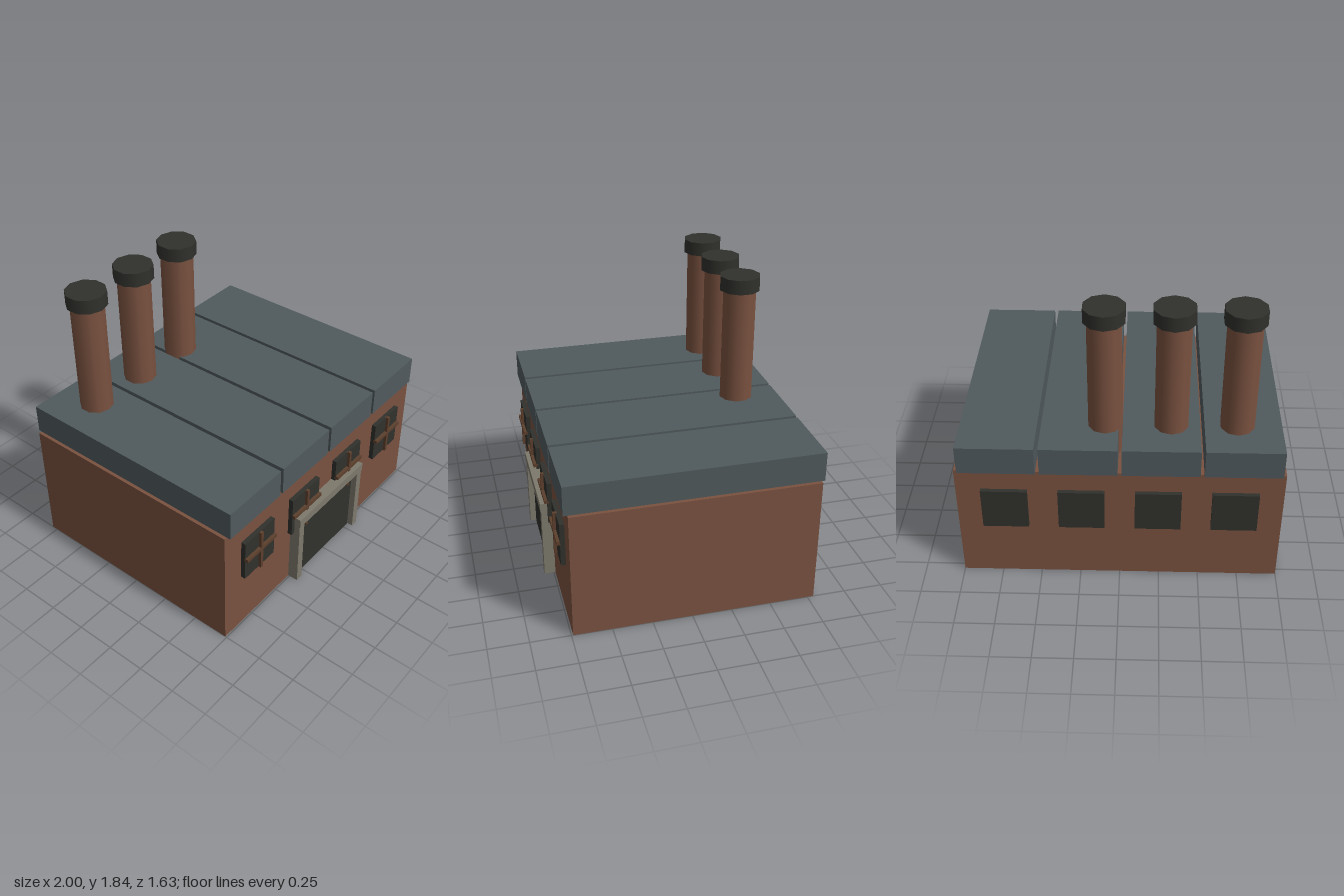
import * as THREE from 'three';

const material = (color) => new THREE.MeshStandardMaterial({ color });

export function createModel() {
  const model = new THREE.Group();
  const brick = material(0x7a5240);
  const slate = material(0x505a5d);
  const dark = material(0x30312c);
  const stone = material(0x7d796c);
  const wood = material(0x5c3f2c);

  // Box given by its minimum and maximum corners
  function box(name, mat, [x0, y0, z0], [x1, y1, z1], parent = model) {
    const mesh = new THREE.Mesh(new THREE.BoxGeometry(x1 - x0, y1 - y0, z1 - z0), mat);
    mesh.position.set((x0 + x1) / 2, (y0 + y1) / 2, (z0 + z1) / 2);
    mesh.name = name;
    parent.add(mesh);
  }

  // Ten-sided upright cylinder with smooth sides
  function column(name, mat, radius, y0, y1, parent) {
    const mesh = new THREE.Mesh(new THREE.CylinderGeometry(radius, radius, y1 - y0, 10), mat);
    mesh.position.y = (y0 + y1) / 2;
    mesh.name = name;
    parent.add(mesh);
  }

  // Main hall
  box('walls', brick, [-1, 0, -0.79], [1, 0.825, 0.74]);

  // Four roof slabs with narrow gaps, overhanging front and back
  for (let i = 0; i < 4; i++) {
    const x = -0.744 + i * 0.495;
    box('roofSlab', slate, [x - 0.235, 0.825, -0.812], [x + 0.235, 1.013, 0.765]);
  }

  // Windows: barred at the front, plain at the back
  for (let i = 0; i < 4; i++) {
    const x = -0.706 + i * 0.47;
    const half = 0.142;
    const front = new THREE.Group();
    front.name = 'frontWindow';
    box('pane', dark, [x - half, 0.402, 0.73], [x + half, 0.685, 0.77], front);
    box('verticalBar', wood, [x - 0.011, 0.402, 0.76], [x + 0.011, 0.685, 0.788], front);
    box('horizontalBar', wood, [x - half, 0.545, 0.76], [x + half, 0.568, 0.79], front);
    model.add(front);
    box('backWindow', dark, [x - half, 0.402, -0.817], [x + half, 0.685, -0.78]);
  }

  // Loading door with stone surround
  const doorway = new THREE.Group();
  doorway.name = 'doorway';
  box('door', dark, [-0.296, 0, 0.73], [0.296, 0.475, 0.772], doorway);
  for (const side of [-1, 1]) {
    const x = side * 0.325;
    box('doorPost', stone, [x - 0.025, 0, 0.73], [x + 0.025, 0.475, 0.81], doorway);
  }
  box('lintel', stone, [-0.351, 0.473, 0.73], [0.351, 0.53, 0.815], doorway);
  model.add(doorway);

  // Three chimneys rising through the roof
  for (let i = 0; i < 3; i++) {
    const chimney = new THREE.Group();
    chimney.name = 'chimney';
    column('stack', brick, 0.107, 0.82, 1.76, chimney);
    column('cap', dark, 0.128, 1.746, 1.837, chimney);
    chimney.position.set(-0.708 + i * 0.4, 0, -0.54);
    model.add(chimney);
  }

  return model;
}
